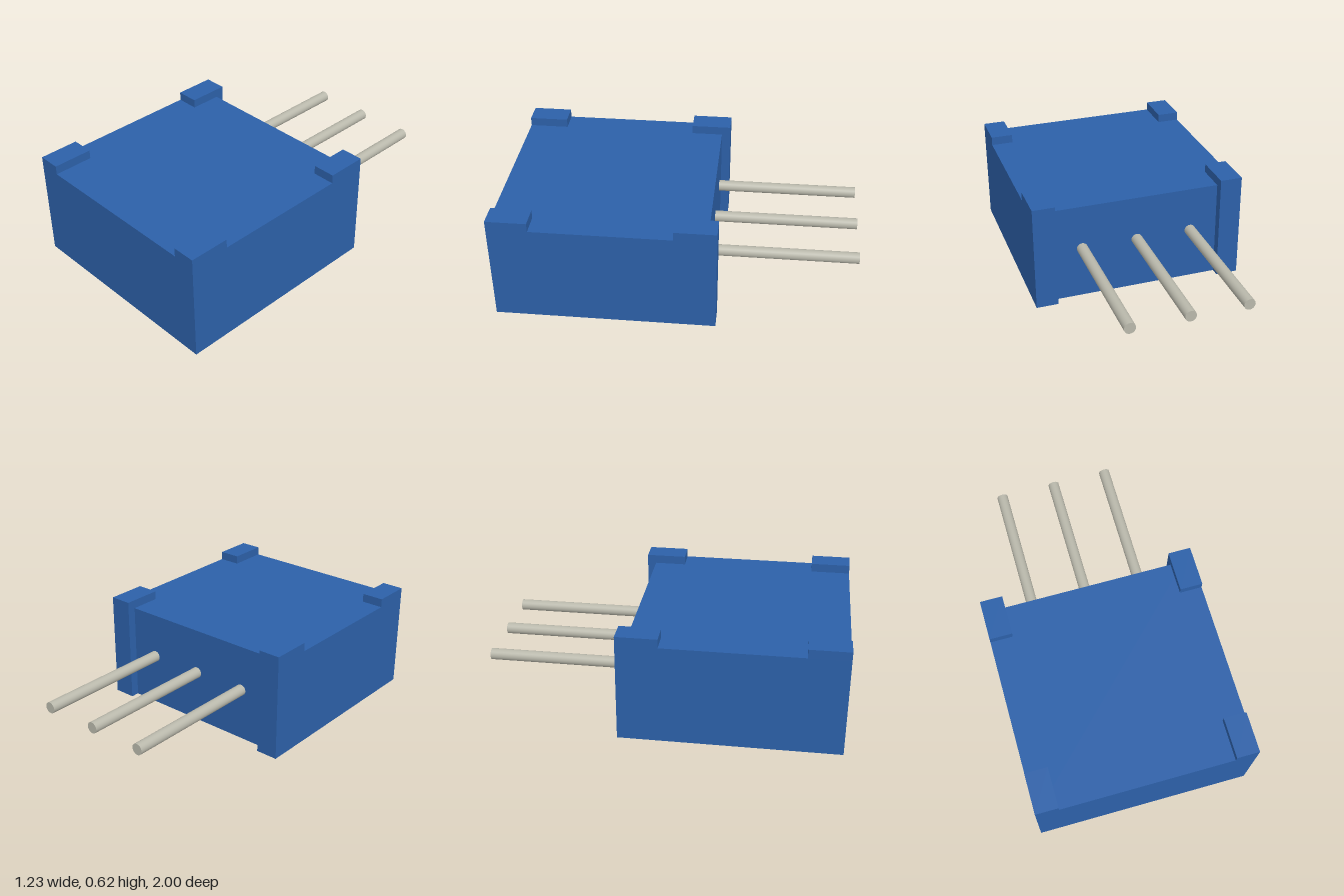
import * as THREE from 'three';

export function createModel() {
  const group = new THREE.Group();
  const blue = new THREE.MeshStandardMaterial({ color: 0x2c60a8 });
  blue.name = 'blue plastic';
  const metal = new THREE.MeshStandardMaterial({ color: 0xb9b8ab });
  metal.name = 'grey metal';

  const add = (name, geometry, material, x = 0, y = 0, z = 0) => {
    const mesh = new THREE.Mesh(geometry, material);
    mesh.name = name;
    mesh.position.set(x, y, z);
    group.add(mesh);
  };
  // Extrudes a plan outline (x, z) between two heights
  const slab = (shape, y0, y1) =>
    new THREE.ExtrudeGeometry(shape, { depth: y1 - y0, bevelEnabled: false, curveSegments: 48 })
      .rotateX(Math.PI / 2).translate(0, y1, 0);

  const W = 0.615, IN = 0.487, BACK = -0.23, WALL = -0.18;
  const R = 0.205, SCREW_Z = 0.5, FLOOR = 0.1, BORE = 0.12;

  // Housing plan: square with two ribs standing proud at the back corners
  const plan = () => new THREE.Shape([
    [-W, 1], [-W, BACK], [-IN, BACK], [-IN, WALL],
    [IN, WALL], [IN, BACK], [W, BACK], [W, 1],
  ].map(([x, z]) => new THREE.Vector2(x, z)));
  const bored = plan();
  bored.holes.push(new THREE.Path().absarc(0, SCREW_Z, R, 0, Math.PI * 2, true));
  add('housingBase', slab(bored, 0.003, BORE), blue);
  add('housing', slab(plan(), BORE, 0.575), blue);

  // Standoff feet on the four top corners
  for (const side of [-1, 1]) {
    for (const [z0, z1] of [[BACK, 0], [0.775, 1]]) {
      add('cornerFoot', new THREE.BoxGeometry(W - IN, 0.05, z1 - z0), blue,
        side * (W + IN) / 2, 0.6, (z0 + z1) / 2);
    }
  }

  // Adjusting screw: two halves leave an arrow-shaped slot between them
  const slot = 0.045, start = Math.asin(slot / R);
  for (const side of [-1, 1]) {
    const points = [];
    for (let i = 0; i <= 32; i++) {
      const a = start + (Math.PI - start) * i / 32;
      points.push(new THREE.Vector2(R * Math.cos(a), side * R * Math.sin(a)));
    }
    points.push(new THREE.Vector2(-0.14, side * 0.07), new THREE.Vector2(-0.14, side * slot));
    add('screwHalf', slab(new THREE.Shape(points), 0, FLOOR), metal, 0, 0, SCREW_Z);
  }
  add('screwSlotFloor', new THREE.CylinderGeometry(R, R, BORE - FLOOR, 48), metal,
    0, (BORE + FLOOR) / 2, SCREW_Z);

  // Three round pins out of the back
  const pin = new THREE.CylinderGeometry(0.032, 0.032, 0.84, 24).rotateX(Math.PI / 2);
  for (const x of [-0.325, 0, 0.325]) add('pin', pin, metal, x, 0.312, -0.58);

  return group;
}
